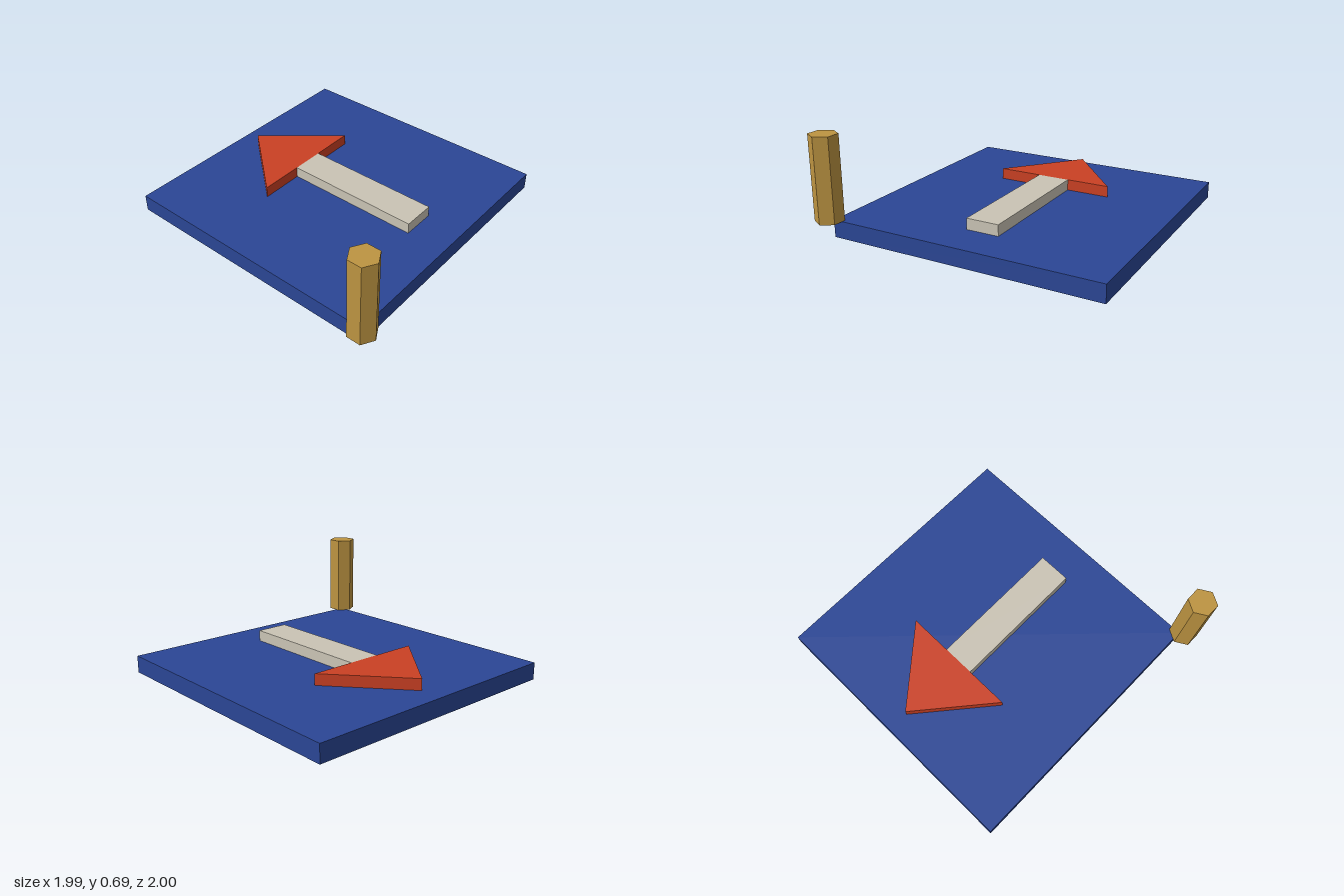
import * as THREE from 'three';

export function createModel() {
  const model = new THREE.Group();
  model.name = 'arrowPlate';

  const material = (name, color) => {
    const m = new THREE.MeshStandardMaterial({ color });
    m.name = name;
    return m;
  };
  const blue = material('blue', 0x2b4695);
  const red = material('red', 0xca4023);
  const stone = material('stone', 0xcac4b5);
  const ochre = material('ochre', 0xbd9441);
  ochre.flatShading = true;

  const add = (name, geometry, mat, x, y, z) => {
    const mesh = new THREE.Mesh(geometry, mat);
    mesh.name = name;
    mesh.position.set(x, y, z);
    model.add(mesh);
  };

  const centreX = 0.05;
  const plateTop = 0.118;
  const arrowHeight = 0.076;
  const headBase = -0.352;

  // Square base plate
  add('basePlate', new THREE.BoxGeometry(1.885, plateTop, 1.885), blue, centreX, plateTop / 2, -0.058);

  // Arrow shaft, ending at the base of the head
  const shaftEnd = 0.61;
  add('arrowShaft', new THREE.BoxGeometry(0.228, arrowHeight, shaftEnd - headBase), stone,
    centreX, plateTop + arrowHeight / 2, (shaftEnd + headBase) / 2);

  // Triangular arrow head, pointing to the back
  const triangle = new THREE.Shape([
    new THREE.Vector2(-0.418, 0),
    new THREE.Vector2(0.418, 0),
    new THREE.Vector2(0, 0.496),
  ]);
  const head = new THREE.ExtrudeGeometry(triangle, { depth: arrowHeight, bevelEnabled: false });
  head.rotateX(-Math.PI / 2);
  add('arrowHead', head, red, centreX, plateTop, headBase);

  // Hexagonal post at the front corner
  const postHeight = 0.575;
  add('cornerPost', new THREE.CylinderGeometry(0.096, 0.096, postHeight, 6), ochre,
    -0.91, plateTop + postHeight / 2, 0.904);

  return model;
}
